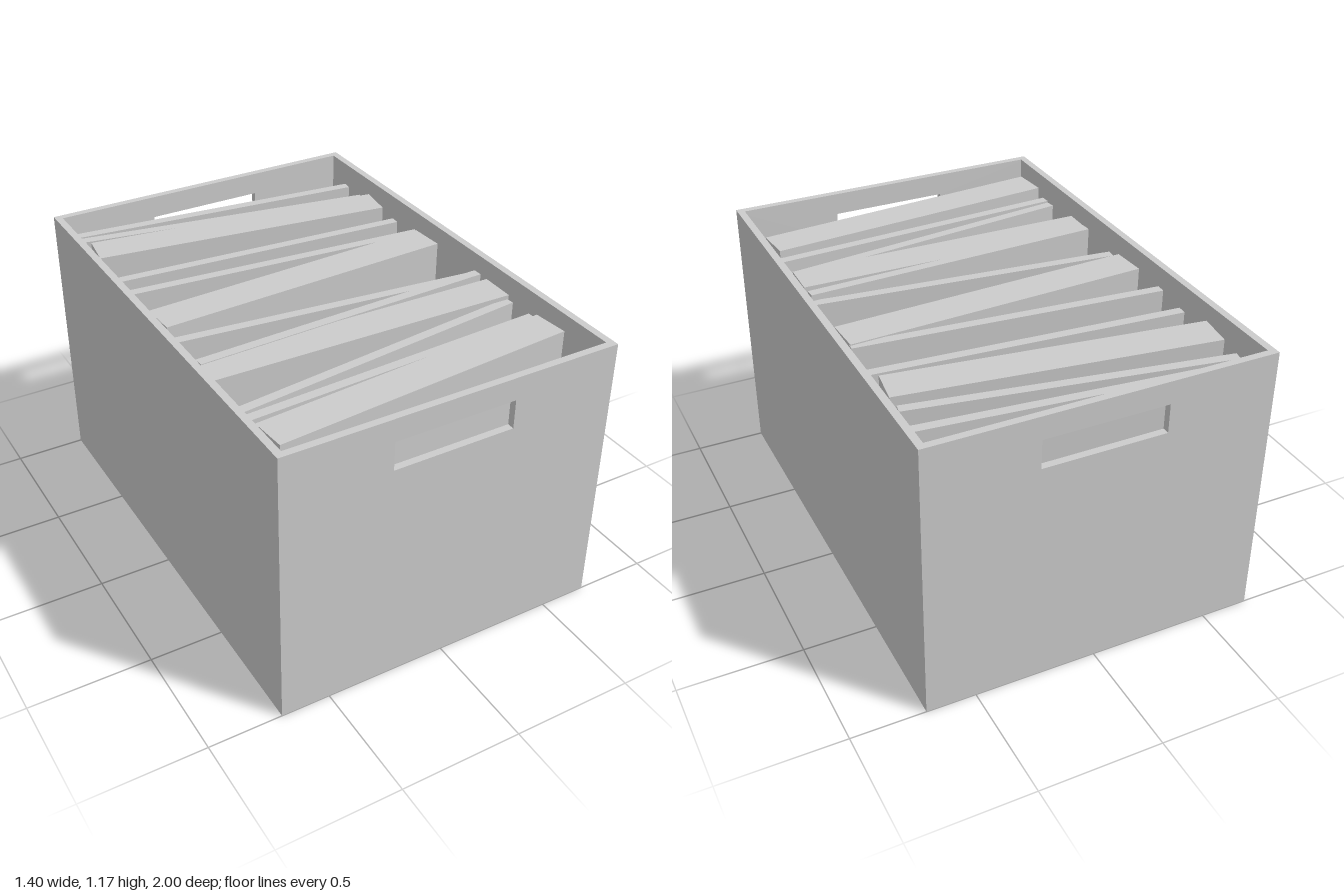
import * as THREE from 'three';

const W = 1.4, H = 1.17, D = 2, T = 0.03;
const material = new THREE.MeshStandardMaterial({ color: 0xcccccc, flatShading: true });

function addMesh(parent, name, geometry, x, y, z, turn = 0) {
  const mesh = new THREE.Mesh(geometry, material);
  mesh.name = name;
  mesh.position.set(x, y, z);
  mesh.rotation.y = turn;
  parent.add(mesh);
  return mesh;
}

// End wall with a rectangular hand hole
function endWall() {
  const rect = (Type, x, y0, y1) => {
    const path = new Type();
    path.moveTo(-x, y0);
    path.lineTo(x, y0);
    path.lineTo(x, y1);
    path.lineTo(-x, y1);
    path.closePath();
    return path;
  };
  const shape = rect(THREE.Shape, W / 2, 0, H);
  shape.holes.push(rect(THREE.Path, 0.252, 0.955, 1.075));
  return new THREE.ExtrudeGeometry(shape, { depth: T, bevelEnabled: false });
}

export function createModel() {
  const model = new THREE.Group();
  model.name = 'fileBox';

  // Open crate
  const crate = new THREE.Group();
  crate.name = 'crate';
  model.add(crate);
  addMesh(crate, 'base', new THREE.BoxGeometry(W - 2 * T, T, D - 2 * T), 0, T / 2, 0);
  const side = new THREE.BoxGeometry(T, H, D - 2 * T);
  addMesh(crate, 'leftWall', side, (W - T) / 2, H / 2, 0);
  addMesh(crate, 'rightWall', side, -(W - T) / 2, H / 2, 0);
  addMesh(crate, 'frontWall', endWall(), 0, 0, D / 2 - T);
  addMesh(crate, 'backWall', endWall(), 0, 0, -D / 2);

  // Files standing askew: z at the -x end, z at the +x end, thickness, top height
  const files = [
    [-0.915, -0.785, 0.04, 1.10],
    [-0.865, -0.65, 0.04, 1.10],
    [-0.705, -0.535, 0.15, 1.125],
    [-0.475, -0.38, 0.04, 1.095],
    [-0.32, -0.21, 0.04, 1.115],
    [-0.07, -0.135, 0.15, 1.12],
    [0.065, 0.195, 0.04, 1.095],
    [0.285, 0.23, 0.04, 1.121],
    [0.345, 0.365, 0.15, 1.118],
    [0.605, 0.45, 0.04, 1.10],
    [0.66, 0.59, 0.04, 1.10],
    [0.81, 0.70, 0.15, 1.125],
  ];
  const contents = new THREE.Group();
  contents.name = 'files';
  model.add(contents);
  for (const [z0, z1, thickness, top] of files) {
    const height = top - T;
    addMesh(contents, thickness > 0.1 ? 'binder' : 'folder',
      new THREE.BoxGeometry(1.275, height, thickness),
      0, T + height / 2, (z0 + z1) / 2, -Math.atan2(z1 - z0, 1.275));
  }
  return model;
}
